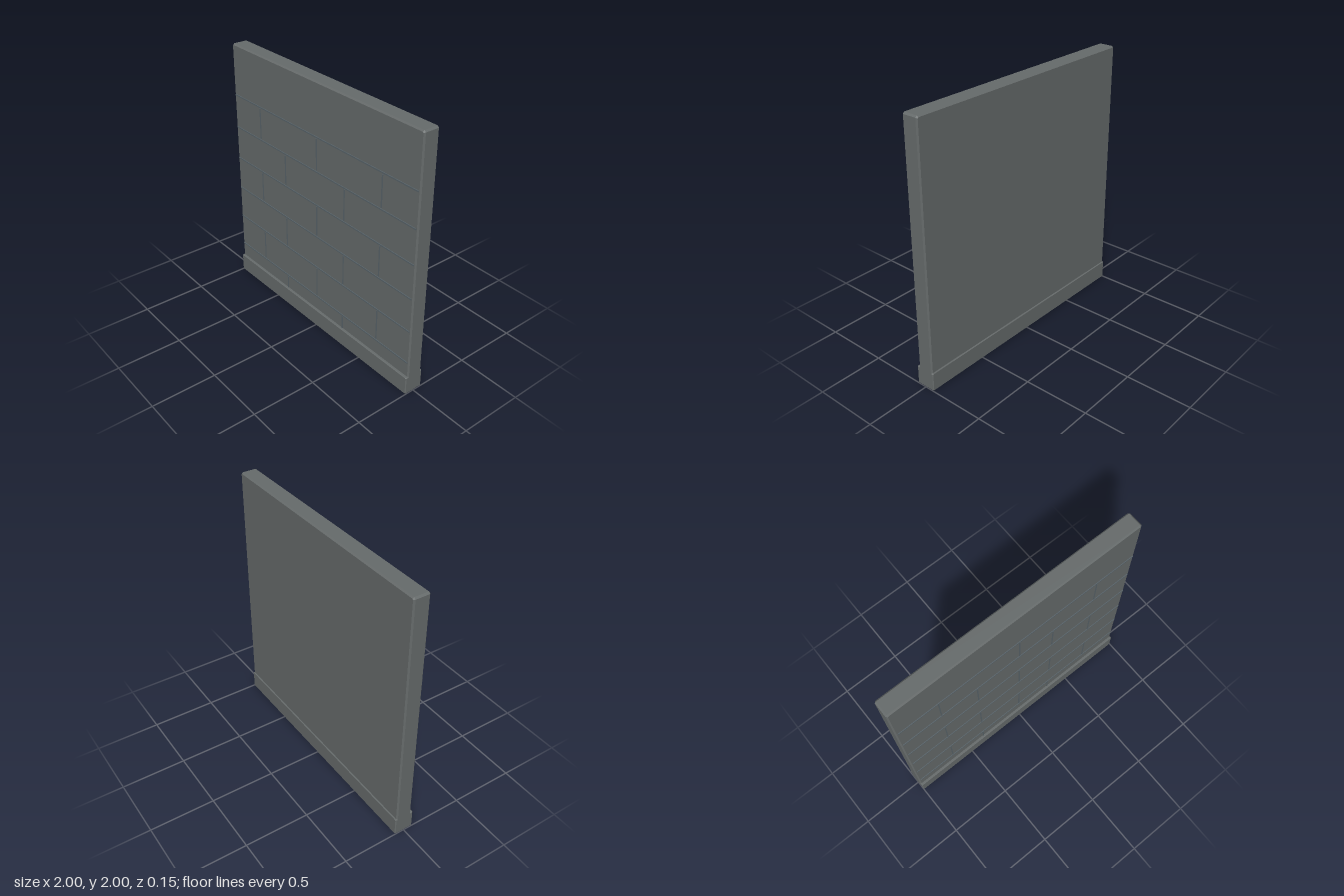
import * as THREE from 'three';

const stone = new THREE.MeshStandardMaterial({ color: 0x666b6b });
const mortar = new THREE.MeshStandardMaterial({ color: 0x59646a });

// Box with every edge chamfered by c, given by its bounds
function chamferBox(name, [x0, x1], [y0, y1], [z0, z1], c) {
  const w = (x1 - x0) / 2 - c, h = (y1 - y0) / 2 - c, k = c * 0.6;
  const shape = new THREE.Shape([
    [-w + k, -h], [w - k, -h], [w, -h + k], [w, h - k],
    [w - k, h], [-w + k, h], [-w, h - k], [-w, -h + k],
  ].map(([x, y]) => new THREE.Vector2(x, y)));
  const geometry = new THREE.ExtrudeGeometry(shape, {
    depth: z1 - z0 - 2 * c, bevelEnabled: true, bevelThickness: c, bevelSize: c, bevelSegments: 1,
  });
  geometry.translate((x0 + x1) / 2, (y0 + y1) / 2, z0 + c);
  const mesh = new THREE.Mesh(geometry, stone);
  mesh.name = name;
  return mesh;
}

export function createModel() {
  const model = new THREE.Group();
  model.name = 'wallPanel';

  const front = 0.058;
  model.add(chamferBox('wall', [-1, 1], [0.02, 2], [-0.068, front], 0.01));
  model.add(chamferBox('baseboard', [-1, 1], [0, 0.147], [-0.076, 0.076], 0.006));

  // Thin raised joint strips laid out in a running bond
  const joints = new THREE.Group();
  joints.name = 'brickJoints';
  const addStrip = (name, w, h, x, y, proud) => {
    const mesh = new THREE.Mesh(new THREE.BoxGeometry(w, h, 0.012), mortar);
    mesh.position.set(x, y, front + proud - 0.006);
    mesh.name = name;
    joints.add(mesh);
  };
  const rows = 6, rowHeight = 1.6 / rows;
  for (let row = 1; row <= rows; row++) {
    const y = row * rowHeight;
    addStrip('horizontalJoint', 1.97, 0.01, 0, y, 0.006);
    const columns = row % 2 ? [-0.367, 0.3] : [-0.667, 0, 0.667];
    for (const x of columns) {
      addStrip('verticalJoint', 0.008, rowHeight - 0.025, x, y - rowHeight / 2, 0.005);
    }
  }
  model.add(joints);
  return model;
}
